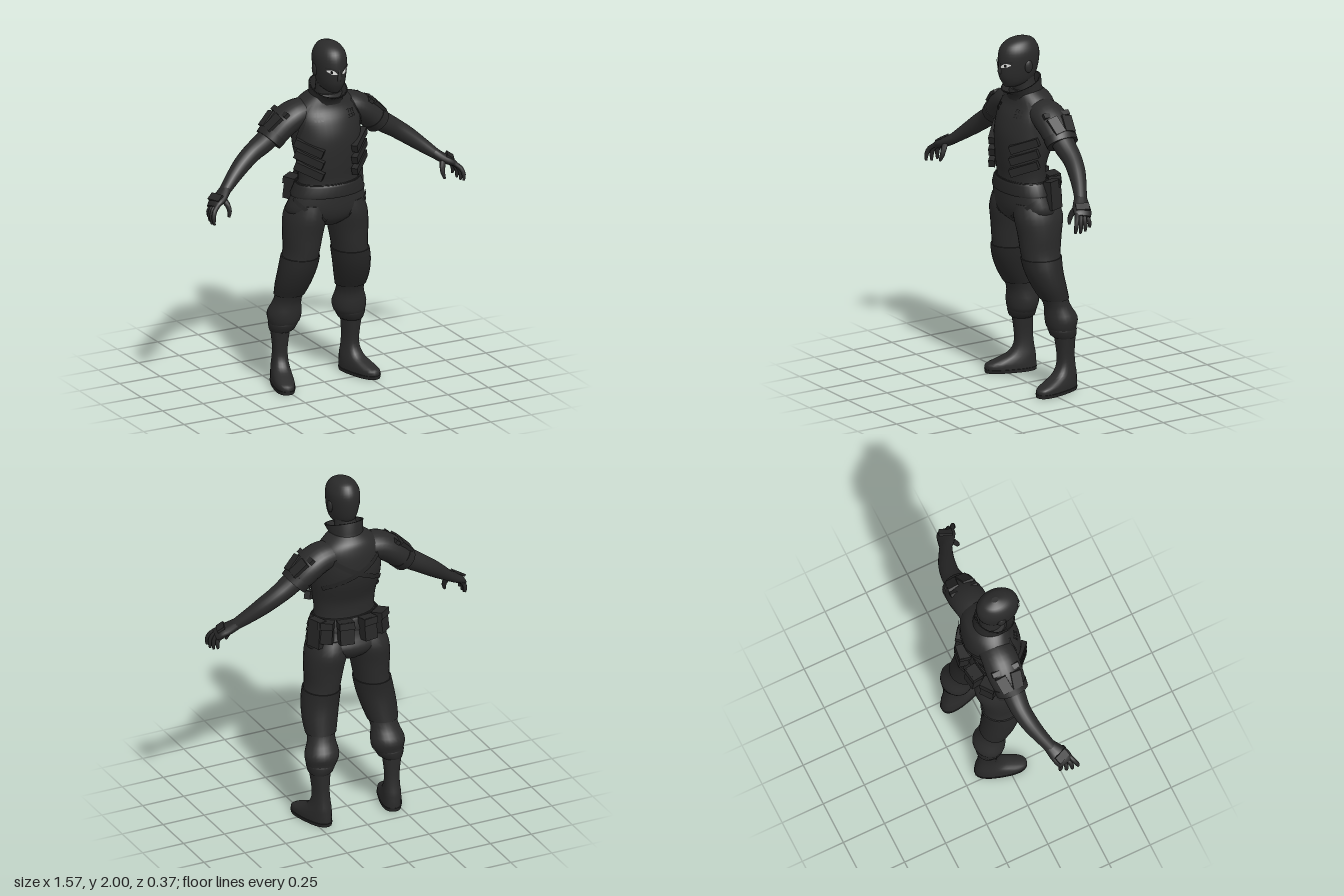
import * as THREE from 'three';

const suit = new THREE.MeshStandardMaterial({ color: 0x2a2a2a });
suit.name = 'charcoal suit';
const gear = new THREE.MeshStandardMaterial({ color: 0x262626 });
gear.name = 'dark gear';
const white = new THREE.MeshStandardMaterial({ color: 0xe4e4e2 });
white.name = 'eye white';
const black = new THREE.MeshStandardMaterial({ color: 0x101010 });
black.name = 'pupil black';

const V = (x, y, z) => new THREE.Vector3(x, y, z);

// Smooth rows of numbers with a Catmull-Rom rule
function refine(rows, k) {
  const out = [];
  const at = i => rows[Math.max(0, Math.min(rows.length - 1, i))];
  for (let i = 0; i < rows.length - 1; i++)
    for (let j = 0; j < k; j++) {
      const t = j / k, [p, q, r, s] = [at(i - 1), at(i), at(i + 1), at(i + 2)];
      out.push(q.map((b, c) => {
        const cubic = 3 * (b - r[c]) + s[c] - p[c];
        const square = 2 * p[c] - 5 * b + 4 * r[c] - s[c];
        return b + 0.5 * t * (r[c] - p[c] + t * (square + t * cubic));
      }));
    }
  out.push(rows[rows.length - 1]);
  return out;
}

const unit = (a, n) => [Math.cos(a), Math.sin(a)].map(c => Math.sign(c) * Math.abs(c) ** (2 / n));

// Skin over rings [x, y, z, rx, rz]; bent rings turn with the path
function loft(rings, { seg = 24, n = 2, bend = false, cap = true } = {}) {
  const pos = [], idx = [], N = rings.length;
  const circle = i => {
    const [x, y, z, rx, rz] = rings[i];
    let t = V(0, 1, 0);
    if (bend) t = V(...rings[Math.min(N - 1, i + 1)]).sub(V(...rings[Math.max(0, i - 1)])).normalize();
    const v = V(0, 0, 1).addScaledVector(t, -t.z).normalize(), u = t.clone().cross(v);
    for (let j = 0; j < seg; j++) {
      const [c, s] = unit(j / seg * Math.PI * 2, n);
      const p = V(x, y, z).addScaledVector(u, c * rx).addScaledVector(v, s * rz);
      pos.push(p.x, p.y, p.z);
    }
  };
  for (let i = 0; i < N; i++) circle(i);
  for (let i = 0; i < N - 1; i++)
    for (let j = 0; j < seg; j++) {
      const a = i * seg + j, b = i * seg + (j + 1) % seg;
      idx.push(a, a + seg, b, b, a + seg, b + seg);
    }
  if (cap) for (const i of [0, N - 1]) {
    const base = pos.length / 3;
    circle(i);
    pos.push(...rings[i].slice(0, 3));
    for (let j = 0; j < seg; j++) {
      const a = base + j, b = base + (j + 1) % seg;
      idx.push(...(i ? [base + seg, b, a] : [base + seg, a, b]));
    }
  }
  return build(pos, idx);
}

function build(pos, idx) {
  const g = new THREE.BufferGeometry();
  g.setAttribute('position', new THREE.Float32BufferAttribute(pos, 3));
  g.setIndex(idx);
  g.computeVertexNormals();
  return g;
}

// Thin strip along [angle, height, half width], lying on upright rings
function ribbon(rings, path, off = 0.006) {
  const pts = refine(path, 8), pos = [], idx = [];
  const surf = (a, y) => {
    let i = 0;
    while (i < rings.length - 2 && rings[i + 1][1] < y) i++;
    const t = (y - rings[i][1]) / (rings[i + 1][1] - rings[i][1]);
    const [x, , z, rx, rz] = rings[i].map((b, c) => b + (rings[i + 1][c] - b) * t);
    pos.push(x + Math.cos(a) * (rx + off), y, z + Math.sin(a) * (rz + off));
  };
  pts.forEach(([a, y, h], i) => {
    const p = pts[Math.max(0, i - 1)], q = pts[Math.min(pts.length - 1, i + 1)];
    const d = new THREE.Vector2((q[0] - p[0]) * 0.18, q[1] - p[1]).normalize();
    for (const s of [-h, h]) surf(a - d.y * s / 0.18, y + d.x * s);
    if (i) { const k = 2 * i; idx.push(k - 2, k - 1, k, k, k - 1, k + 1); }
  });
  return build(pos, idx);
}

function box(size, at, rot) {
  return new THREE.BoxGeometry(...size).applyMatrix4(new THREE.Matrix4()
    .makeRotationFromEuler(new THREE.Euler(...rot, 'YXZ')).setPosition(...at));
}

function mirror(geo) {
  const g = geo.clone().scale(-1, 1, 1), ix = g.index;
  for (let i = 0; i < ix.count; i += 3) {
    const a = ix.getX(i);
    ix.setX(i, ix.getX(i + 1));
    ix.setX(i + 1, a);
  }
  return g;
}

export function createModel() {
  const model = new THREE.Group();
  model.name = 'maskedSoldier';
  const add = (name, geo, mat = suit) => {
    const m = new THREE.Mesh(geo, mat);
    m.name = name;
    model.add(m);
  };
  const pair = (name, geo, mat) => {
    add(name + 'Left', geo, mat);
    add(name + 'Right', mirror(geo), mat);
  };

  // Head and neck
  const head = refine([[0, 1.725, 0.105, 0.03, 0.04], [0, 1.748, 0.075, 0.058, 0.085], [0, 1.79, 0.067, 0.075, 0.112],
    [0, 1.86, 0.06, 0.086, 0.122], [0, 1.92, 0.057, 0.088, 0.119], [0, 1.96, 0.055, 0.073, 0.1],
    [0, 1.985, 0.047, 0.05, 0.068], [0, 1.999, 0.045, 0.015, 0.02]], 3);
  add('mask', loft(head, { seg: 32 }));
  add('nose', loft([[0, 1.805, 0.172, 0.016, 0.016], [0, 1.82, 0.176, 0.016, 0.016], [0, 1.87, 0.172, 0.007, 0.01]], { seg: 10 }));
  add('neck', loft([[0, 1.6, 0.005, 0.075, 0.07], [0, 1.7, 0.02, 0.062, 0.066], [0, 1.78, 0.035, 0.06, 0.066]]));
  pair('ear', new THREE.SphereGeometry(1, 12, 10).scale(0.012, 0.036, 0.025).translate(0.084, 1.845, 0.045));
  pair('eye', ribbon(head, [[0.78, 1.862, 0.003], [1.05, 1.858, 0.012], [1.25, 1.852, 0.009], [1.4, 1.845, 0.002]], 0.003), white);
  pair('pupil', ribbon(head, [[1.0, 1.857, 0.007], [1.07, 1.857, 0.009], [1.14, 1.856, 0.007]], 0.005), black);
  pair('brow', ribbon(head, [[0.7, 1.878, 0.004], [1.05, 1.876, 0.006], [1.45, 1.862, 0.004]], 0.005), gear);

  // Torso vest
  const torso = refine([[0, 1.17, 0.04, 0.18, 0.115], [0, 1.23, 0.042, 0.176, 0.116], [0, 1.3, 0.043, 0.183, 0.124],
    [0, 1.4, 0.027, 0.198, 0.147], [0, 1.48, 0.015, 0.2, 0.155], [0, 1.56, 0.004, 0.2, 0.143],
    [0, 1.62, -0.008, 0.185, 0.122], [0, 1.665, -0.005, 0.14, 0.108], [0, 1.7, 0.01, 0.09, 0.085]], 4);
  add('torso', loft(torso, { seg: 36 }));

  // Raised collar, lower and pointed at the front
  const collar = loft([[0, 1.645, 0.005, 0.115, 0.105], [0, 1.69, 0.02, 0.095, 0.095], [0, 1.735, 0.043, 0.106, 0.112],
    [0, 1.735, 0.043, 0.094, 0.1], [0, 1.67, 0.02, 0.07, 0.07]], { seg: 32, cap: false });
  const cp = collar.attributes.position;
  for (let i = 0; i < cp.count; i++)
    if (cp.getY(i) > 1.66) cp.setY(i, cp.getY(i) - 0.36 * (cp.getZ(i) - 0.04) * (cp.getY(i) - 1.645) / 0.09);
  collar.computeVertexNormals();
  add('collar', collar, gear);

  // Harness: crossed straps on the back, shoulder straps and chest tabs
  pair('backStrap', ribbon(torso, [[-2.65, 1.62, 0.014], [-1.9, 1.53, 0.014], [-1.2, 1.46, 0.014], [-0.5, 1.4, 0.014]]), gear);
  pair('chestStrap', ribbon(torso, [[0.75, 1.65, 0.012], [0.55, 1.55, 0.012], [0.25, 1.46, 0.012]]), gear);
  for (let i = 0; i < 6; i++) {
    const a = 0.92 + (i % 3) * 0.1, y = 1.575 + Math.floor(i / 3) * 0.025;
    pair('chestTab' + i, ribbon(torso, [[a, y, 0.009], [a + 0.07, y, 0.009]], 0.007), gear);
  }

  // Three slanted pouches on each side of the ribs
  for (let i = 0; i < 3; i++)
    pair('ribPouch' + i, box([0.17, 0.045, 0.035], [0.155, 1.42 - i * 0.066, 0.118], [0, 0.75, 0.36]), gear);

  // Pelvis and belt
  const pelvis = refine([[0, 0.945, 0.012, 0.07, 0.085], [0, 0.98, 0.012, 0.17, 0.125], [0, 1.03, 0.013, 0.235, 0.145],
    [0, 1.1, 0.03, 0.222, 0.133], [0, 1.2, 0.04, 0.183, 0.12]], 3);
  add('pelvis', loft(pelvis, { seg: 36 }));
  add('belt', loft([[0, 1.125, 0.035, 0.216, 0.137], [0, 1.135, 0.035, 0.22, 0.14], [0, 1.185, 0.04, 0.198, 0.13],
    [0, 1.195, 0.04, 0.19, 0.124]], { seg: 36 }), gear);
  pair('hipStrap', ribbon(pelvis, [[0.15, 1.12, 0.01], [0.7, 1.07, 0.01], [1.25, 0.99, 0.01]]), gear);

  // Belt pouches around the back, each with a flap
  for (const [name, x, z, yaw, h] of [['backPouch', 0.068, -0.118, 0.15, 0.13], ['hipPouch', 0.165, -0.072, 0.65, 0.12]]) {
    pair(name, box([0.08, h, 0.06], [x, 1.14, z], [-0.12, Math.PI - yaw, 0]), gear);
    pair(name + 'Flap', box([0.087, 0.04, 0.067], [x, 1.185, z], [-0.12, Math.PI - yaw, 0]), gear);
  }
  add('sidePouch', box([0.05, 0.16, 0.09], [0.205, 1.13, -0.035], [0, 0.35, 0.08]), gear);

  // Legs, knee panels and trouser cuffs
  const leg = refine([[0.215, 0.33, -0.1, 0.062, 0.065], [0.203, 0.365, -0.09, 0.088, 0.08], [0.2, 0.42, -0.09, 0.097, 0.089],
    [0.192, 0.5, -0.065, 0.078, 0.071], [0.181, 0.6, -0.025, 0.093, 0.089], [0.165, 0.7, 0.003, 0.1, 0.103],
    [0.148, 0.8, 0.01, 0.099, 0.115], [0.139, 0.9, 0.01, 0.11, 0.126], [0.125, 1.0, 0.01, 0.115, 0.143],
    [0.11, 1.08, 0.02, 0.1, 0.125]], 3);
  pair('leg', loft(leg));
  const knee = leg.filter(r => r[1] > 0.515 && r[1] < 0.775);
  pair('kneePanel', loft(knee.map(([x, y, z, rx, rz]) => [x, y, z, rx + 0.007, rz + 0.006])), gear);
  pair('trouserCuff', loft([[0.219, 0.31, -0.1, 0.06, 0.064], [0.213, 0.322, -0.096, 0.071, 0.074],
    [0.208, 0.352, -0.092, 0.083, 0.08], [0.206, 0.365, -0.09, 0.078, 0.076]]), gear);

  // Boots with toes turned out
  const place = g => g.rotateY(0.28).translate(0.217, 0, -0.11);
  const boot = refine([[0, 0.018, 0.075, 0.057, 0.145], [0, 0.045, 0.073, 0.058, 0.143], [0, 0.07, 0.045, 0.055, 0.113],
    [0, 0.1, 0.013, 0.05, 0.078], [0, 0.15, 0, 0.043, 0.056], [0, 0.22, 0.002, 0.042, 0.052], [0, 0.34, 0.01, 0.057, 0.06]], 3);
  pair('boot', place(loft(boot, { n: 2.5 })));
  pair('sole', place(loft([[0, 0, 0.075, 0.057, 0.145], [0, 0.02, 0.075, 0.062, 0.148]], { n: 2.5 })), gear);

  // Sleeves with cuffs and shoulder pouches
  const sleeve = refine([[0.1, 1.59, -0.015, 0.075, 0.09], [0.18, 1.58, -0.015, 0.078, 0.1], [0.255, 1.535, -0.018, 0.077, 0.1],
    [0.33, 1.465, -0.015, 0.07, 0.088]], 4);
  pair('sleeve', loft(sleeve, { bend: true }));
  pair('sleeveCuff', loft([[0.305, 1.491, -0.016, 0.077, 0.096], [0.338, 1.458, -0.015, 0.074, 0.092]], { bend: true }), gear);
  for (const s of [-1, 1])
    pair('shoulderPouch' + (s > 0 ? 'Front' : 'Back'), box([0.1, 0.035, 0.062], [0.32, 1.56, -0.02 + s * 0.036], [s * 0.22, 0, -0.78]), gear);
  pair('shoulderStrap', box([0.03, 0.02, 0.16], [0.262, 1.605, -0.02], [0, 0, -0.68]), gear);

  // Arms ending in gloves
  const arm = refine([[0.29, 1.51, -0.015, 0.06, 0.07], [0.37, 1.446, -0.015, 0.057, 0.062], [0.44, 1.4, -0.013, 0.052, 0.054],
    [0.51, 1.35, 0.003, 0.048, 0.049], [0.58, 1.295, 0.03, 0.04, 0.041], [0.655, 1.235, 0.066, 0.029, 0.034]], 4);
  pair('arm', loft(arm, { bend: true, seg: 20 }));
  const limb = (rows, k, seg) => loft(refine(rows, k), { bend: true, seg });
  pair('palm', limb([[0.64, 1.247, 0.058, 0.029, 0.035], [0.685, 1.215, 0.082, 0.028, 0.048],
    [0.725, 1.195, 0.1, 0.024, 0.053], [0.75, 1.175, 0.11, 0.015, 0.045]], 3, 16), gear);
  [0.95, 1, 0.95, 0.8].forEach((s, i) => {
    const z = 0.145 - i * 0.026, x = 0.742 - i * 0.004;
    pair('finger' + i, limb([[x - 0.015, 1.193, z - 0.008, 0.013, 0.014], [x + 0.02 * s, 1.165, z + 0.012, 0.013, 0.013],
      [x + 0.033 * s, 1.19 - 0.065 * s, z + 0.024 - i * 0.006, 0.012, 0.012],
      [x + 0.03 * s, 1.19 - 0.1 * s, z + 0.028 - i * 0.008, 0.007, 0.007]], 2, 8), gear);
  });
  pair('thumb', limb([[0.685, 1.215, 0.1, 0.02, 0.018], [0.665, 1.18, 0.125, 0.016, 0.016],
    [0.66, 1.145, 0.14, 0.013, 0.013], [0.668, 1.115, 0.148, 0.007, 0.007]], 2, 8), gear);
  pair('knucklePlate', box([0.045, 0.014, 0.075], [0.725, 1.223, 0.098], [0, -0.4, -0.6]), gear);

  return model;
}
